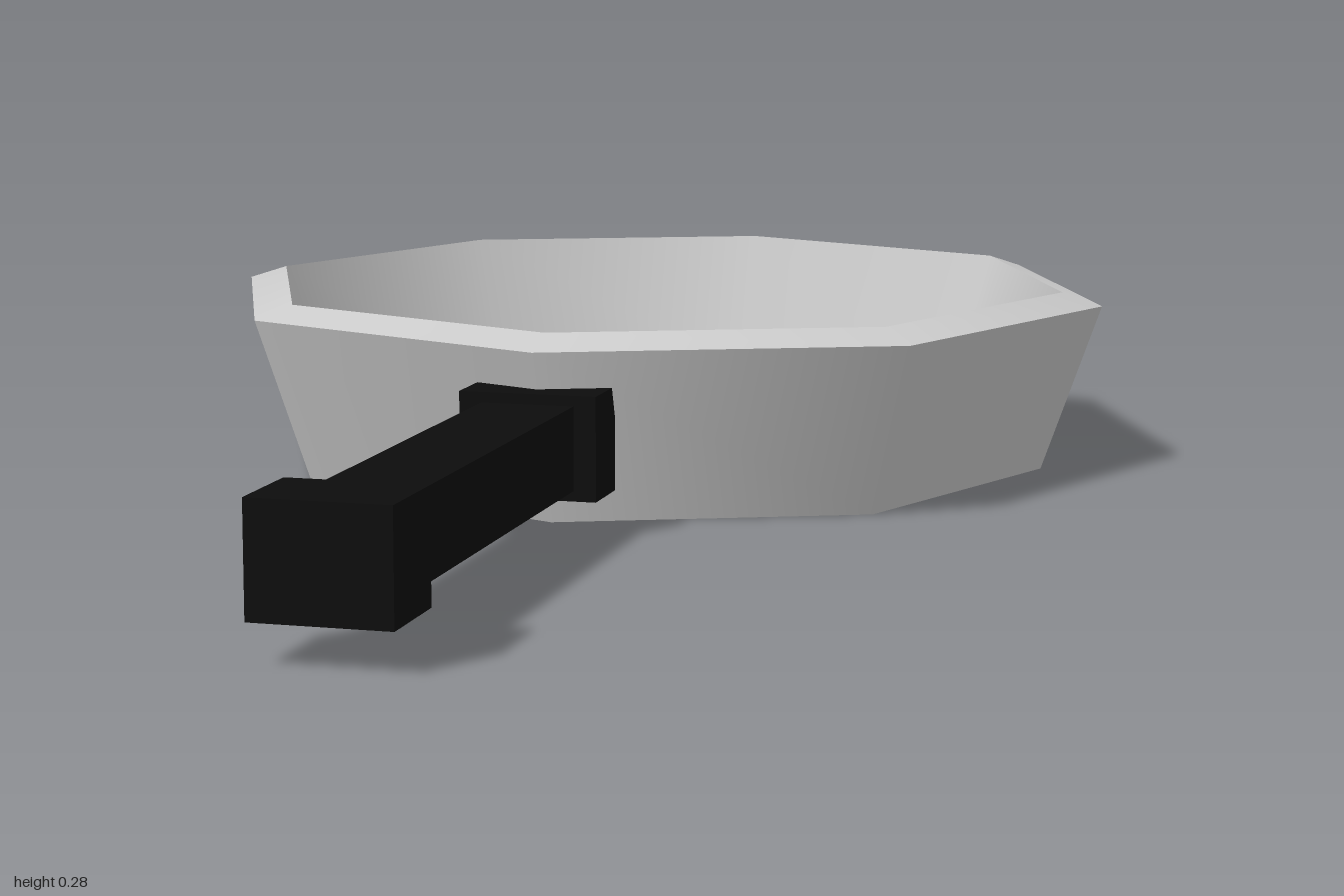
import * as THREE from 'three';
import { mergeGeometries } from 'three/addons/utils/BufferGeometryUtils.js';

const SIDES = 8;
const HANDLE_ANGLE = Math.atan2(-0.6, 0.8); // handle leaves from one corner of the octagon

export function createModel() {
  const model = new THREE.Group();
  const metal = new THREE.MeshStandardMaterial({ color: 0xcccccc });
  const black = new THREE.MeshStandardMaterial({ color: 0x0d0d0d });

  const pan = new THREE.Group();
  pan.name = 'fryingPan';
  pan.position.set(0.15, 0, -0.3);
  pan.rotation.y = HANDLE_ANGLE; // local +z runs along the handle
  model.add(pan);

  // Bowl: one lathe band per profile segment, smooth around and sharp between bands
  const profile = [
    [0, 0], [0.616, 0], // underside
    [0.707, 0.26], // outer wall
    [0.645, 0.28], // sloping rim
    [0.565, 0.05], // inner wall
    [0, 0.05], // cooking surface
  ].map(([r, y]) => new THREE.Vector2(r, y));
  const bands = profile.slice(1).map((p, i) => new THREE.LatheGeometry([profile[i], p], SIDES));
  const bowl = new THREE.Mesh(mergeGeometries(bands), metal);
  bowl.name = 'bowl';
  pan.add(bowl);

  // Handle: mounting block, bar and end block, given by their start and end radius
  const handle = new THREE.Group();
  handle.name = 'handle';
  pan.add(handle);
  const addBlock = (name, width, height, start, end) => {
    const mesh = new THREE.Mesh(new THREE.BoxGeometry(width, height, end - start), black);
    mesh.name = name;
    mesh.position.set(0, 0.13, (start + end) / 2);
    handle.add(mesh);
  };
  addBlock('handleMount', 0.2, 0.15, 0.63, 0.729);
  addBlock('handleBar', 0.135, 0.12, 0.7, 1.45);
  addBlock('handleEnd', 0.187, 0.15, 1.416, 1.548);

  return model;
}
